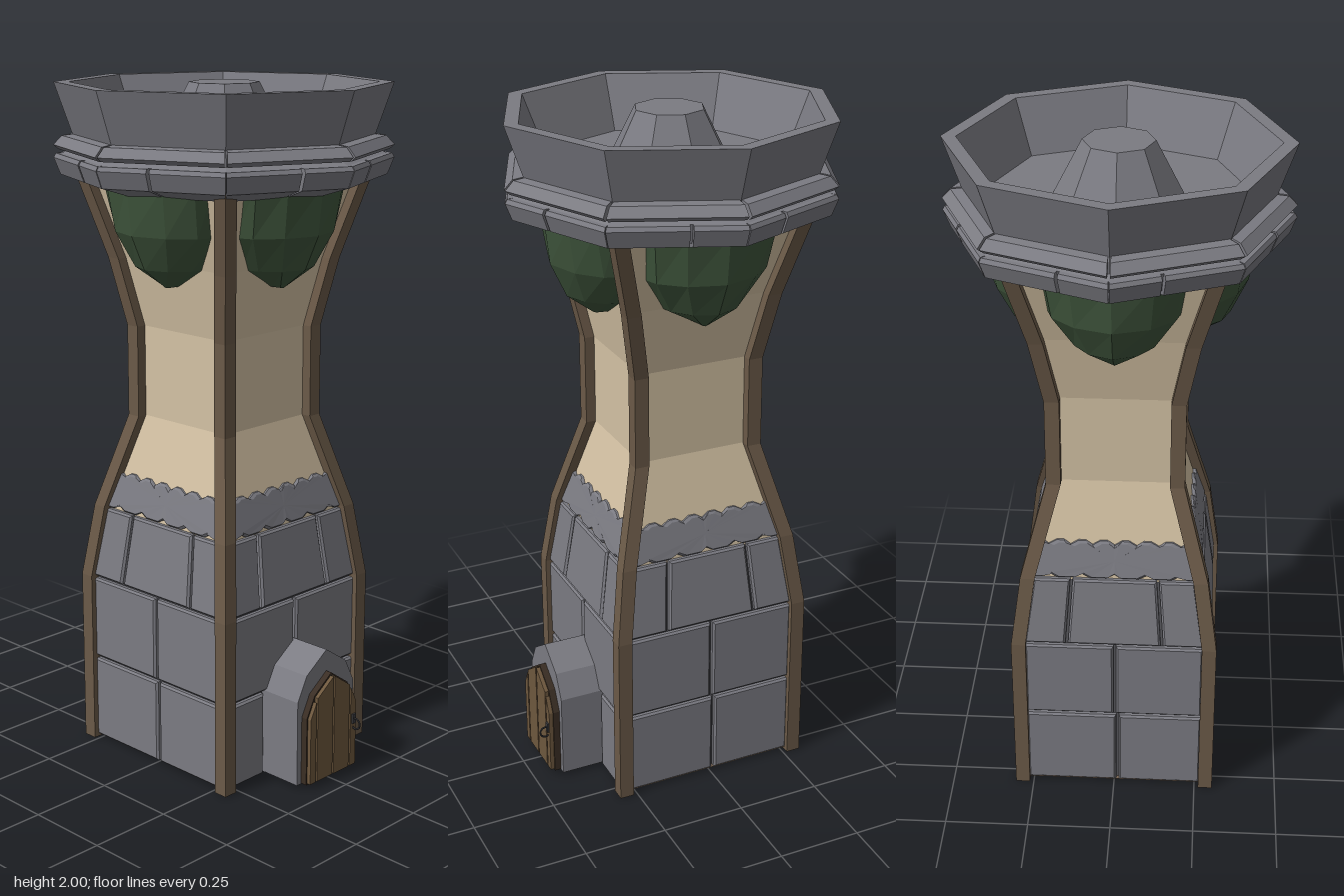
import * as THREE from 'three';

const mat = (name, color, side = THREE.FrontSide) => {
  const m = new THREE.MeshStandardMaterial({ color, flatShading: true, side });
  m.name = name;
  return m;
};

// Skin between matching cross-sections (each a list of [x, y, z]), with flat caps
function loft(rings, caps = true) {
  const p = [];
  const tri = (a, b, c) => p.push(...a, ...b, ...c);
  const n = rings[0].length;
  for (let r = 0; r < rings.length - 1; r++) {
    for (let i = 0; i < n; i++) {
      const j = (i + 1) % n, a = rings[r], b = rings[r + 1];
      tri(a[i], a[j], b[j]);
      tri(a[i], b[j], b[i]);
    }
  }
  if (caps) {
    const mid = (ring) => [0, 1, 2].map((k) => ring.reduce((s, v) => s + v[k], 0) / n);
    const first = rings[0], last = rings[rings.length - 1];
    for (let i = 0; i < n; i++) {
      const j = (i + 1) % n;
      tri(mid(first), first[j], first[i]);
      tri(mid(last), last[i], last[j]);
    }
  }
  const g = new THREE.BufferGeometry();
  g.setAttribute('position', new THREE.Float32BufferAttribute(p, 3));
  g.computeVertexNormals();
  return g;
}

// Tower half-width by height, measured at the outside of the corner beams
const PROFILE = [[0, 0.305], [0.53, 0.305], [0.75, 0.275], [1.03, 0.2], [1.3, 0.2], [1.5, 0.237], [1.74, 0.3]];
function halfWidth(y) {
  for (let i = 1; i < PROFILE.length; i++) {
    const [y0, r0] = PROFILE[i - 1], [y1, r1] = PROFILE[i];
    if (y <= y1) return r0 + ((r1 - r0) * (y - y0)) / (y1 - y0);
  }
  return 0.3;
}

export function createModel() {
  const tower = new THREE.Group();
  tower.name = 'tower';
  const stone = mat('grey stone', 0x7b7b82);
  const mortar = mat('dark mortar', 0x55555a, THREE.DoubleSide);
  const plaster = mat('cream plaster', 0xd4c2a4, THREE.DoubleSide);
  const wood = mat('beam wood', 0x6b5a48);
  const doorWood = mat('door wood', 0x6e583e);
  const darkWood = mat('dark door trim', 0x3a2e24);
  const green = mat('green', 0x3f553c);
  const iron = mat('iron', 0x3c3c40);
  const floorWood = mat('floor wood', 0x7a6655, THREE.DoubleSide);

  const add = (parent, name, geometry, material) => {
    const m = new THREE.Mesh(geometry, material);
    m.name = name;
    parent.add(m);
    return m;
  };

  // Wall core: mortar behind the stones, plaster above
  const square = (y, r) => [[-r, y, r], [r, y, r], [r, y, -r], [-r, y, -r]];
  const core = (ys) => loft(ys.map((y) => square(y, halfWidth(y) - 0.03)), false);
  add(tower, 'mortarCore', core([0.005, 0.53, 0.735]), mortar);
  add(tower, 'plasterWall', core([0.735, 0.75, 1.03, 1.3, 1.5, 1.74]), plaster);

  // Slab lying on the front wall; outline points are [fraction across, height]
  const slab = (outline, lift) => {
    const cx = (Math.min(...outline.map((v) => v[0])) + Math.max(...outline.map((v) => v[0]))) / 2;
    const cy = (Math.min(...outline.map((v) => v[1])) + Math.max(...outline.map((v) => v[1]))) / 2;
    const layer = (z, inset) => outline.map(([u, y]) => [
      u * (halfWidth(y) - 0.035) - Math.sign(u - cx) * inset,
      y - Math.sign(y - cy) * inset, halfWidth(y) + z]);
    return loft([layer(-0.04, 0), layer(lift - 0.006, 0), layer(lift, 0.006)]);
  };

  // Saw-toothed course where stone meets plaster
  const band = [];
  for (let i = 0; i <= 20; i++) band.push([-1 + i / 10, i % 4 === 2 ? 0.757 : 0.745]);
  for (let i = 20; i >= 0; i--) band.push([-1 + i / 10, i % 3 === 1 ? 0.843 : 0.856]);

  const beamRings = PROFILE.map(([y, r]) => {
    const i = r - 0.043;
    return [[i, y, r], [r, y, r], [r, y, i], [i, y, i]];
  });

  // Faceted pod under the crown
  const podRings = [[1.44, 0.012, 0.235], [1.5, 0.12, 0.315], [1.6, 0.185, 0.362], [1.74, 0.205, 0.378]].map(([y, w, z]) => {
    const zi = halfWidth(y) - 0.05;
    const zm = zi + (z - zi) * 0.72;
    return [[-w, y, zi], [-w * 0.9, y, zi + (z - zi) * 0.4], [-w * 0.55, y, zm + 0.01], [0, y, z],
      [w * 0.55, y, zm + 0.01], [w * 0.9, y, zi + (z - zi) * 0.4], [w, y, zi]];
  });

  for (let s = 0; s < 4; s++) {
    const side = new THREE.Group();
    side.name = 'side' + (s + 1);
    side.rotation.y = (s * Math.PI) / 2;
    tower.add(side);
    const rows = [
      [0.008, 0.262, s === 0 ? [-1, -0.46, 0.46, 1] : [-1, 0.04, 1]],
      [0.27, 0.522, [-1, 0.01, 1]],
      [0.53, 0.742, [-1, -0.52, 0.53, 1]],
    ];
    for (const [y0, y1, cuts] of rows) {
      for (let i = 1; i < cuts.length; i++) {
        const a = cuts[i - 1] + 0.015, b = cuts[i] - 0.015;
        add(side, 'wallStone', slab([[a, y0], [b, y0], [b, y1], [a, y1]], -0.014), stone);
      }
    }
    add(side, 'topCourse', slab(band, -0.018), stone);
    add(side, 'cornerBeam', loft(beamRings), wood);
    add(side, 'hangingPod', loft(podRings), green);
  }

  // Triangular floor board underneath
  const floor = new THREE.BufferGeometry();
  floor.setAttribute('position', new THREE.Float32BufferAttribute(
    [0.29, 0.01, -0.29, 0.29, 0.01, 0.29, -0.29, 0.01, -0.29], 3));
  floor.computeVertexNormals();
  add(tower, 'floorBoard', floor, floorWood);

  // Crown: parapet, basin and central cone turned with eight sides
  const crown = new THREE.Group();
  crown.name = 'crown';
  tower.add(crown);
  const profile = [[0, 1.715], [0.35, 1.715], [0.45, 1.745], [0.465, 1.8], [0.44, 1.81], [0.43, 1.85], [0.482, 2],
    [0.44, 2], [0.375, 1.845], [0.18, 1.845], [0.1, 2], [0, 2]];
  add(crown, 'parapetBasin', new THREE.LatheGeometry(
    profile.map(([x, y]) => new THREE.Vector2(x, y)), 8).toNonIndexed(), stone).geometry.computeVertexNormals();

  // Blocks running along the octagon's edges
  const edgeBlock = (k, t0, t1, section) => {
    const at = (t) => section.map(([r, y]) => {
      const a = (k * Math.PI) / 4, b = a + Math.PI / 4;
      return [r * (Math.sin(a) * (1 - t) + Math.sin(b) * t), y, r * (Math.cos(a) * (1 - t) + Math.cos(b) * t)];
    });
    return loft([at(t0), at(t1)]);
  };
  const lip = [[0.42, 1.812], [0.42, 1.855], [0.463, 1.85], [0.488, 1.824], [0.474, 1.812]];
  const corbel = [[0.33, 1.712], [0.42, 1.802], [0.48, 1.8], [0.487, 1.788], [0.468, 1.74], [0.37, 1.71]];
  for (let k = 0; k < 8; k++) {
    add(crown, 'lipStone', edgeBlock(k, 0.012, 0.988, lip), stone);
    const cut = k % 2 ? 0.6 : 0.4;
    add(crown, 'corbelStone', edgeBlock(k, 0.004, cut - 0.012, corbel), stone);
    add(crown, 'corbelStone', edgeBlock(k, cut + 0.012, 0.996, corbel), stone);
  }

  // Porch and pointed door
  const door = new THREE.Group();
  door.name = 'doorway';
  tower.add(door);
  const extrude = (pts, z0, z1) => new THREE.ExtrudeGeometry(
    new THREE.Shape(pts.map(([x, y]) => new THREE.Vector2(x, y))), { depth: z1 - z0, bevelEnabled: false }).translate(0, 0, z0);
  const arch = (w, shoulder, kneeX, kneeY, peak, y0) => [[-w, y0], [w, y0], [w, shoulder], [kneeX, kneeY],
    [0, peak], [-kneeX, kneeY], [-w, shoulder]];
  add(door, 'porchArch', extrude(arch(0.122, 0.27, 0.085, 0.342, 0.4, 0.01), 0.26, 0.416), stone);
  add(door, 'porchUnderside', new THREE.BoxGeometry(0.2, 0.004, 0.11).translate(0, 0.009, 0.355), green);
  add(door, 'doorFrame', extrude(arch(0.104, 0.22, 0.072, 0.283, 0.334, 0.012), 0.41, 0.436), darkWood);
  const top = (x) => {
    const a = Math.abs(x);
    return a < 0.07 ? 0.328 - (a * 0.05) / 0.07 : 0.278 - ((a - 0.07) * 0.06) / 0.03;
  };
  for (const [a, b] of [[-0.1, -0.076], [-0.07, -0.003], [0.003, 0.07], [0.076, 0.1]]) {
    add(door, 'doorPlank', extrude([[a, 0.016], [b, 0.016], [b, top(b)], [a, top(a)]], 0.43, 0.448), doorWood);
  }
  const ring = add(door, 'doorRing', new THREE.TorusGeometry(0.017, 0.003, 6, 12), iron);
  ring.rotation.y = Math.PI / 2;
  ring.position.set(0.088, 0.15, 0.457);
  add(door, 'ringPlate', new THREE.BoxGeometry(0.014, 0.03, 0.006).translate(0.088, 0.165, 0.45), iron);

  return tower;
}
